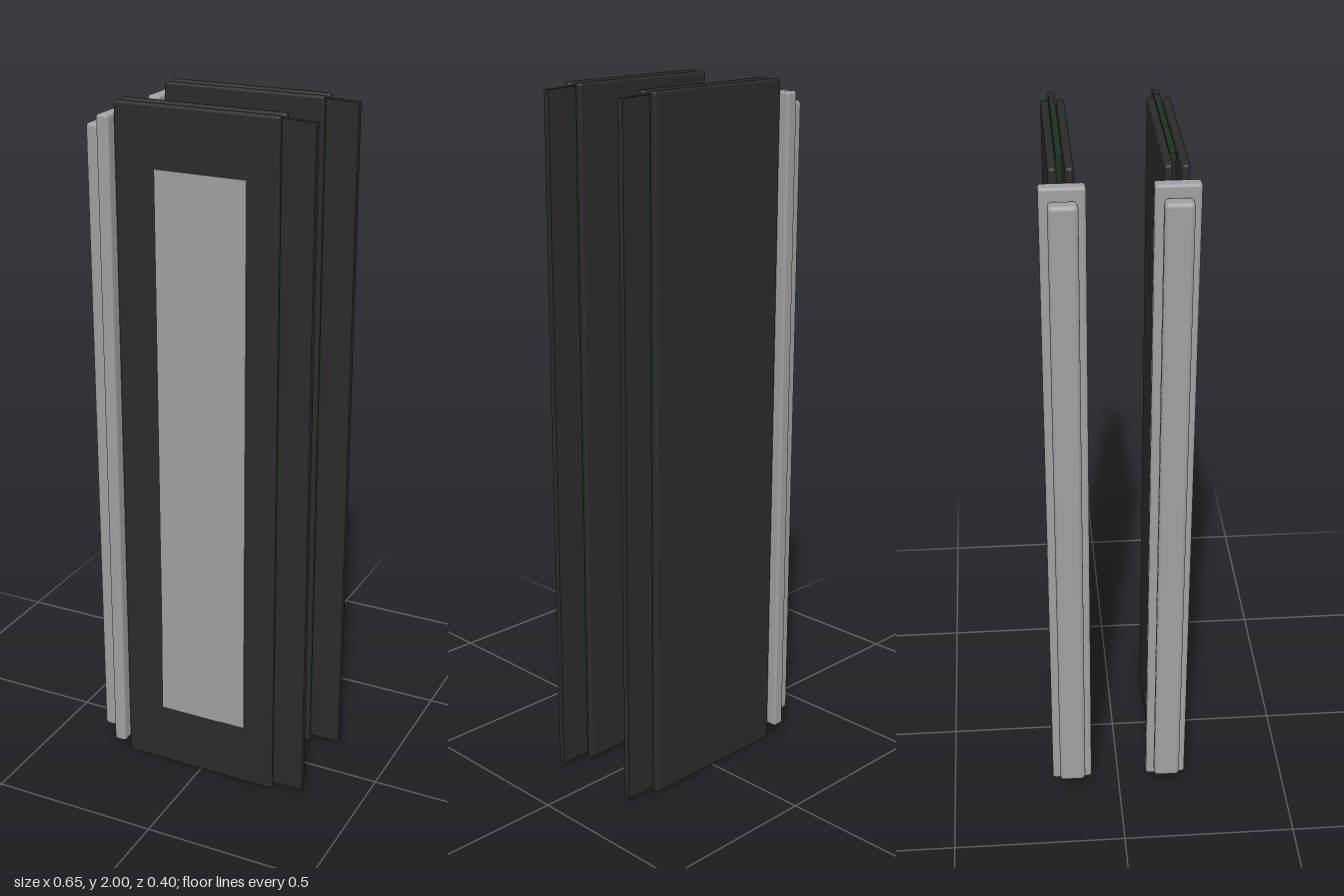
import * as THREE from 'three';
import { RoundedBoxGeometry } from 'three/addons/geometries/RoundedBoxGeometry.js';

const material = (name, color) => {
  const m = new THREE.MeshStandardMaterial({ color });
  m.name = name;
  return m;
};

// Box from its extents on each axis, with optional rounded edges
function block(name, [x0, x1], [y0, y1], [z0, z1], mat, radius = 0) {
  const size = [x1 - x0, y1 - y0, z1 - z0];
  const geometry = radius
    ? new RoundedBoxGeometry(...size, 3, radius)
    : new THREE.BoxGeometry(...size);
  const mesh = new THREE.Mesh(geometry, mat);
  mesh.name = name;
  mesh.position.set((x0 + x1) / 2, (y0 + y1) / 2, (z0 + z1) / 2);
  return mesh;
}

export function createModel() {
  const black = material('black plate', 0x2b2b2b);
  const silver = material('silver grey', 0xa0a0a4);
  const green = material('dark board green', 0x1c3320);

  // One stick, centred on its own board at z = 0
  function memoryStick(name) {
    const g = new THREE.Group();
    g.name = name;
    // heat spreader plates either side of the board
    for (const [side, z] of [['front', 0.021], ['back', -0.021]]) {
      g.add(block(`${side}HeatSpreader`, [-0.242, 0.234], [0, 2], [z - 0.011, z + 0.011], black, 0.008));
    }
    // circuit board with its exposed edge and contact strip
    g.add(block('circuitBoard', [-0.141, 0.236], [0.01, 1.99], [-0.008, 0.008], green));
    g.add(block('boardEdge', [0.236, 0.278], [0.01, 1.99], [-0.008, 0.008], black));
    g.add(block('contactStrip', [0.278, 0.324], [0.012, 1.988], [-0.009, 0.009], black));
    // raised label on the front plate
    g.add(block('label', [-0.122, 0.145], [0.19, 1.83], [0.031, 0.0355], silver));
    // rounded bars along the closed edge
    g.add(block('wideBar', [-0.28, -0.243], [0.045, 1.965], [-0.058, 0.059], silver, 0.008));
    g.add(block('outerBar', [-0.325, -0.282], [0.075, 1.935], [-0.037, 0.038], silver, 0.012));
    return g;
  }

  const model = new THREE.Group();
  model.name = 'memorySticks';
  for (const [name, z] of [['frontStick', 0.14], ['backStick', -0.143]]) {
    const stick = memoryStick(name);
    stick.position.z = z;
    model.add(stick);
  }
  return model;
}
